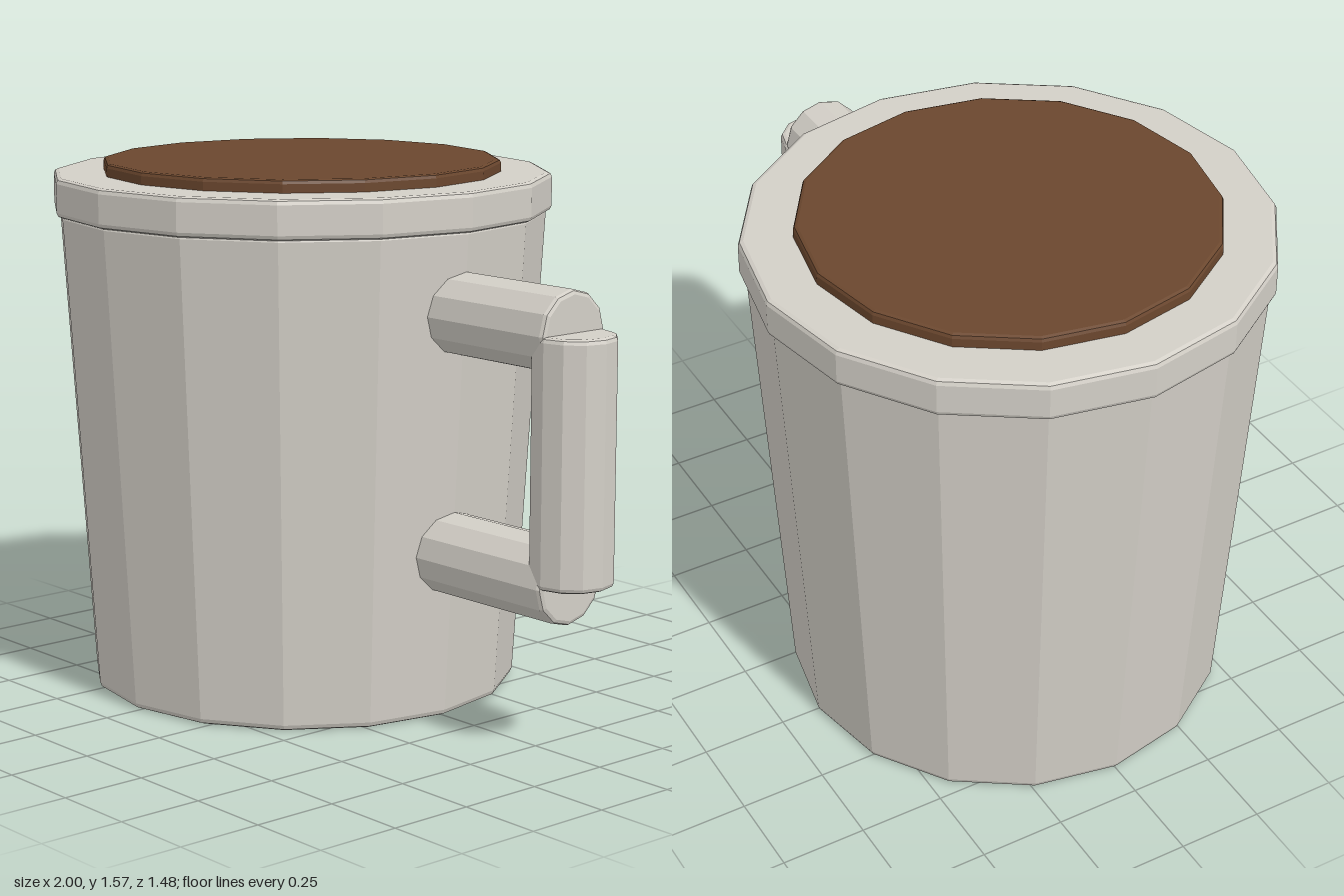
import * as THREE from 'three';

const ceramic = new THREE.MeshStandardMaterial({ color: 0xd3cfc7 });
ceramic.name = 'warm grey ceramic';
const coffee = new THREE.MeshStandardMaterial({ color: 0x6b472e });
coffee.name = 'coffee brown';

const CUP_X = -0.261;

// Closed faceted cylinder or cone standing on y = 0, with bevelled end edges
function bevelledDrum(name, material, bottomR, topR, height, sides, bevel) {
  const profile = [
    [0, 0],
    [bottomR - bevel, 0],
    [bottomR - bevel * 0.3, bevel * 0.3],
    [bottomR, bevel],
    [topR, height - bevel],
    [topR - bevel * 0.3, height - bevel * 0.3],
    [topR - bevel, height],
    [0, height],
  ].map(([r, y]) => new THREE.Vector2(r, y));
  const geometry = new THREE.LatheGeometry(profile, sides).toNonIndexed();
  geometry.computeVertexNormals(); // one normal per face keeps the facets flat
  const mesh = new THREE.Mesh(geometry, material);
  mesh.name = name;
  return mesh;
}

export function createModel() {
  const mug = new THREE.Group();
  mug.name = 'mug';

  // Tapered cup, rim band and drink, stacked on one axis
  const body = bevelledDrum('cupBody', ceramic, 0.637, 0.722, 1.43, 16, 0.018);
  body.position.set(CUP_X, 0, 0);

  const rim = bevelledDrum('rim', ceramic, 0.739, 0.739, 0.114, 16, 0.015);
  rim.position.set(CUP_X, 1.417, 0);

  const drink = bevelledDrum('coffeeSurface', coffee, 0.589, 0.589, 0.06, 16, 0.012);
  drink.position.set(CUP_X, 1.508, 0);
  mug.add(body, rim, drink);

  // Handle: two arms reaching out of the cup and one upright grip
  const handle = new THREE.Group();
  handle.name = 'handle';
  const armStart = 0.3, armEnd = 0.877, lowY = 0.492, highY = 1.187, radius = 0.119;
  for (const [name, y] of [['lowerArm', lowY], ['upperArm', highY]]) {
    const arm = bevelledDrum(name, ceramic, radius, radius, armEnd - armStart, 12, 0.014);
    arm.rotation.z = -Math.PI / 2;
    arm.position.set(armStart, y, 0);
    handle.add(arm);
  }
  const grip = bevelledDrum('grip', ceramic, radius, radius, highY - lowY, 12, 0.014);
  grip.position.set(0.88, lowY, 0);
  handle.add(grip);
  mug.add(handle);

  return mug;
}
